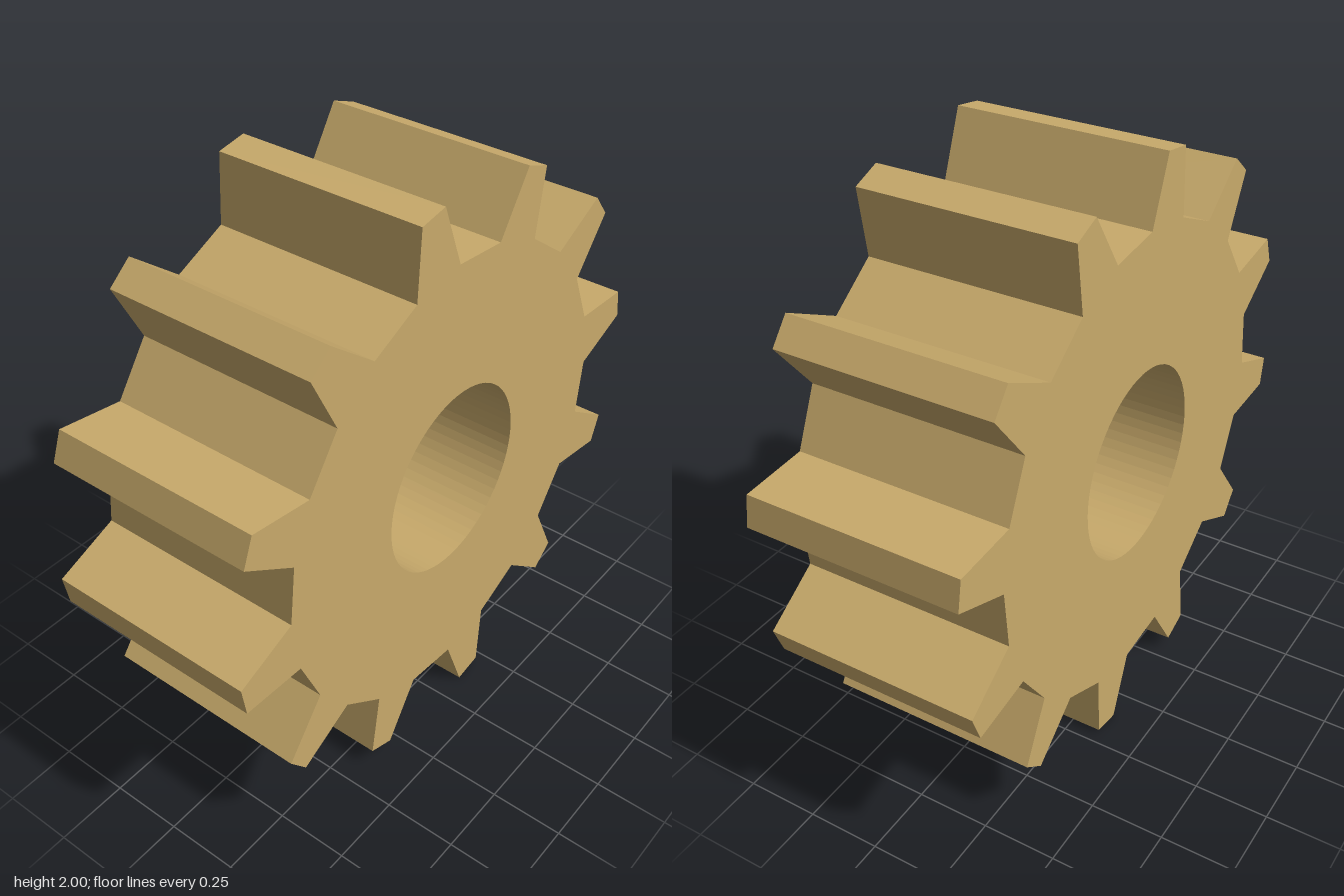
import * as THREE from 'three';

const TEETH = 12, ROOT_R = 0.785, TIP_R = 1.0055, BORE_R = 0.323, DEPTH = 0.72;

export function createModel() {
  const group = new THREE.Group();
  group.name = 'spurGear';

  // Outline: each tooth is root, tip, tip, root, tapering towards the tip
  const corners = [[ROOT_R, -7.5], [TIP_R, -3], [TIP_R, 3], [ROOT_R, 7.5]];
  const points = [];
  for (let i = 0; i < TEETH; i++) {
    for (const [r, offset] of corners) {
      const a = THREE.MathUtils.degToRad(9 + (i * 360) / TEETH + offset);
      points.push(new THREE.Vector2(r * Math.cos(a), r * Math.sin(a)));
    }
  }
  const outline = new THREE.Shape(points);

  // Round shaft bore
  const bore = new THREE.Path();
  bore.absarc(0, 0, BORE_R, 0, Math.PI * 2, true);
  outline.holes.push(bore);

  const geometry = new THREE.ExtrudeGeometry(outline, {
    depth: DEPTH, bevelEnabled: false, curveSegments: 32,
  });
  geometry.translate(0, 1, -DEPTH / 2);

  const gear = new THREE.Mesh(
    geometry,
    new THREE.MeshStandardMaterial({ color: 0xc8aa6b, flatShading: true }),
  );
  gear.name = 'toothedWheel';
  group.add(gear);
  return group;
}
